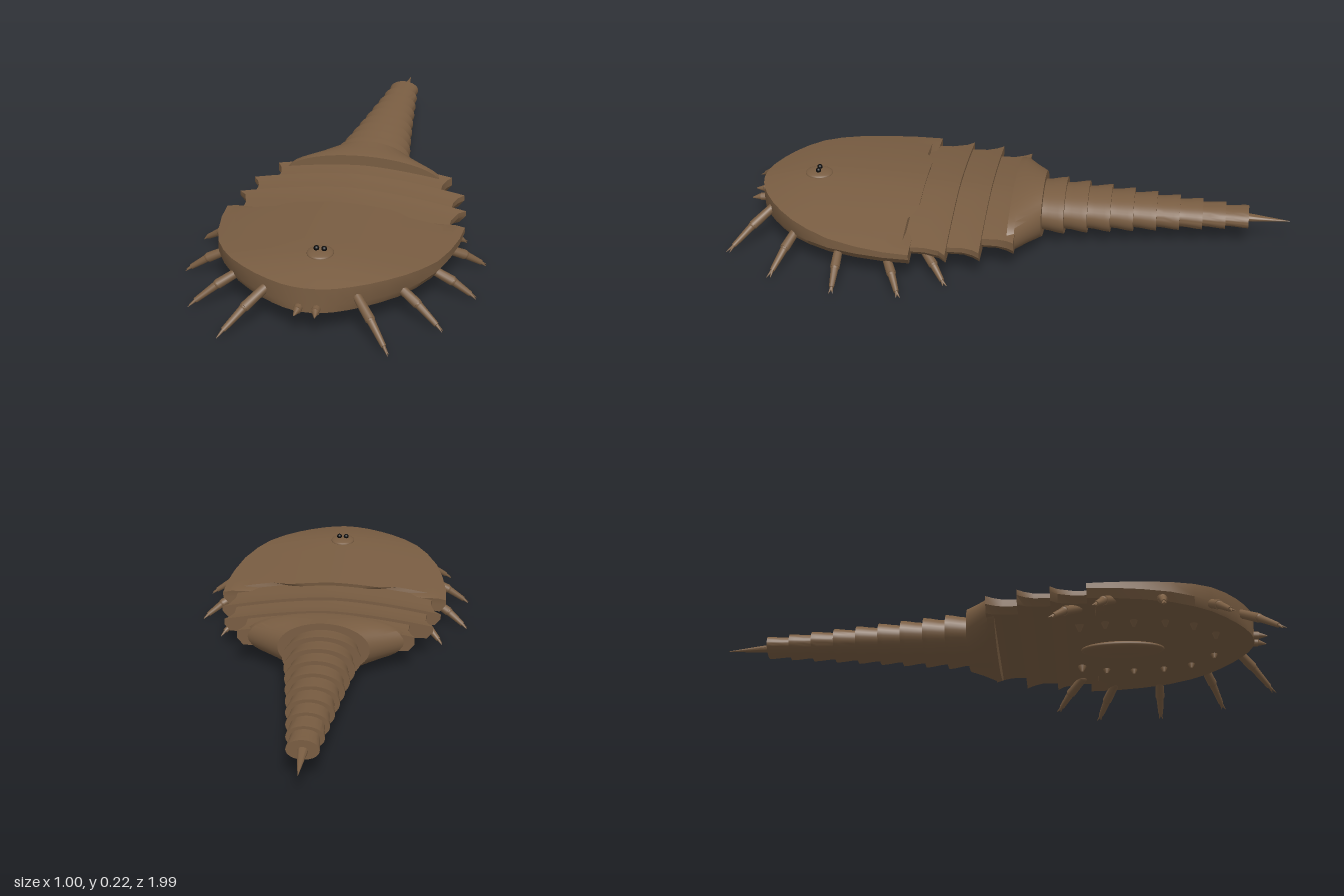
import * as THREE from 'three';
import { toCreasedNormals } from 'three/addons/utils/BufferGeometryUtils.js';

const shell = new THREE.MeshStandardMaterial({ name: 'brown shell', color: 0x795d42 });
const black = new THREE.MeshStandardMaterial({ name: 'black eye', color: 0x080808 });
const V = (x, y, z) => new THREE.Vector3(x, y, z);

// Capped solid through rings ordered front to back, each counterclockwise seen from +z
function loft(rings, crease = 0.6) {
  const pos = [], n = rings[0].length;
  const tri = (...p) => p.forEach(v => pos.push(v.x, v.y, v.z));
  const centre = r => r.reduce((s, v) => s.add(v), V(0, 0, 0)).divideScalar(n);
  const first = rings[0], last = rings[rings.length - 1];
  const cf = centre(first), cl = centre(last);
  for (let j = 0; j < n; j++) {
    const k = (j + 1) % n;
    for (let i = 0; i < rings.length - 1; i++) {
      const a = rings[i][j], b = rings[i][k], c = rings[i + 1][j], d = rings[i + 1][k];
      tri(a, c, b);
      tri(b, c, d);
    }
    tri(cf, first[j], first[k]);
    tri(cl, last[k], last[j]);
  }
  const g = new THREE.BufferGeometry();
  g.setAttribute('position', new THREE.Float32BufferAttribute(pos, 3));
  return toCreasedNormals(g, crease);
}

// Arched plate section: domed top, short side wall, flat belly
function arch(z, w, peak, belly = 0.09, shift = () => 0) {
  const ring = [], N = 32;
  const inner = Math.max(w - 0.022, w * 0.9);
  const add = (x, y) => ring.push(V(x, y, z + shift(Math.abs(x))));
  for (let i = 0; i <= N; i++) {
    const x = w * Math.cos(Math.PI * i / N);
    add(x, peak - 0.055 * Math.pow(Math.abs(x) / 0.42, 1.6));
  }
  add(-w, 0.118);
  for (let i = 0; i <= 12; i++) add(inner * (i / 6 - 1), belly);
  add(w, 0.118);
  return ring;
}

function oval(z, rx, ry, cy) {
  return Array.from({ length: 40 }, (_, i) => {
    const a = i / 40 * Math.PI * 2;
    return V(rx * Math.cos(a), cy + ry * Math.sin(a), z);
  });
}

// Straight tapered limb piece between two points
function limb(a, b, ra, rb) {
  const g = new THREE.CylinderGeometry(rb, ra, a.distanceTo(b), 12);
  g.applyQuaternion(new THREE.Quaternion().setFromUnitVectors(V(0, 1, 0), b.clone().sub(a).normalize()));
  const m = a.clone().add(b).multiplyScalar(0.5);
  return g.translate(m.x, m.y, m.z);
}

const ball = (r, p) => new THREE.SphereGeometry(r, 16, 10).translate(p.x, p.y, p.z);

export function createModel() {
  const model = new THREE.Group();
  model.name = 'armoredArthropod';
  const add = (name, geometry, material = shell, parent = model) => {
    const m = new THREE.Mesh(geometry, material);
    m.name = name;
    parent.add(m);
    return m;
  };

  // Head shield with a notched rear edge
  const outline = [[0.9, 0.015], [0.895, 0.05], [0.883, 0.09], [0.86, 0.138], [0.83, 0.188],
    [0.79, 0.24], [0.74, 0.291], [0.68, 0.333], [0.6, 0.373], [0.5, 0.4], [0.4, 0.416], [0.31, 0.42]];
  const notch = x => 0.03 * THREE.MathUtils.smoothstep(x, 0.17, 0.24) * (1 - THREE.MathUtils.smoothstep(x, 0.35, 0.38));
  add('headShield', loft(outline.map(([z, w], i) => {
    const peak = z > 0.7 ? 0.178 + 0.026 * Math.sin((0.9 - z) / 0.2 * Math.PI / 2)
      : 0.204 - 0.012 * (0.7 - z) / 0.39;
    return arch(z, w, peak, 0.09, i === outline.length - 1 ? notch : undefined);
  })));

  // Trunk plates, each flaring toward its rear edge
  const plates = [[0.36, 0.185, 0.365, 0.405], [0.2, 0.07, 0.352, 0.382], [0.09, -0.042, 0.295, 0.32]];
  plates.forEach(([z0, z1, w0, w1], i) => {
    const top = 0.184 - i * 0.002;
    add('trunkPlate' + (i + 1), loft([
      arch(z0, w0, top - 0.006, 0.097), arch(z1 + (z0 - z1) * 0.45, w0, top - 0.004, 0.097),
      arch(z1 + 0.025, w0 * 0.6 + w1 * 0.4, top, 0.094), arch(z1, w1, top + 0.004, 0.092)]));
  });

  // Funnel joining trunk to tail
  add('tailCollar', loft([oval(-0.015, 0.29, 0.092, 0.125), oval(-0.04, 0.285, 0.095, 0.126),
    oval(-0.08, 0.225, 0.096, 0.127), oval(-0.122, 0.165, 0.098, 0.128)]));

  // Nine overlapping tail rings
  for (let i = 0; i < 9; i++) {
    const t = i / 8, z = -0.115 - i * 0.0815;
    const rx = 0.14 - 0.084 * Math.pow(t, 0.85), ry = 0.086 - 0.05 * t, cy = 0.125 - 0.004 * t;
    const ring = (dz, s) => oval(z - dz, rx * s, ry * s, cy);
    add('tailRing' + (i + 1), loft([ring(-0.005, 0.88), ring(0.03, 0.91), ring(0.065, 0.98), ring(0.085, 1)]));
  }
  add('tailSpike', loft([oval(-0.765, 0.027, 0.021, 0.122), oval(-0.88, 0.015, 0.011, 0.117),
    oval(-1, 0.001, 0.001, 0.111)]));

  // Mouth plate under the head
  add('mouthPlate', new THREE.SphereGeometry(1, 32, 16).scale(0.06, 0.019, 0.15).translate(0, 0.078, 0.43));
  add('eyeMound', new THREE.SphereGeometry(1, 24, 12).scale(0.045, 0.012, 0.05).translate(0, 0.202, 0.7));

  // Paired parts: legs as base and tip positions
  const legs = [[V(0.135, 0.148, 0.825), V(0.28, 0.014, 0.985)], [V(0.245, 0.135, 0.72), V(0.425, 0.013, 0.805)],
    [V(0.34, 0.11, 0.565), V(0.5, 0.013, 0.57)], [V(0.36, 0.1, 0.4), V(0.5, 0.013, 0.335)],
    [V(0.3, 0.1, 0.28), V(0.412, 0.015, 0.185)]];
  const bumps = [[0.09, 0.76], [0.17, 0.68], [0.2, 0.58], [0.21, 0.47], [0.2, 0.37], [0.18, 0.28]];
  for (const [side, s] of [['left', 1], ['right', -1]]) {
    const m = v => V(v.x * s, v.y, v.z);
    legs.forEach(([base, tip], i) => {
      const leg = new THREE.Group();
      leg.name = side + 'Leg' + (i + 1);
      model.add(leg);
      const at = (t, lift) => m(base.clone().lerp(tip, t).add(V(0, lift, 0)));
      const knee = at(0.5, 0.008), ankle = at(0.88, 0.003), start = at(0, 0);
      add('hip', ball(0.015, start), shell, leg);
      add('upperLeg', limb(start, knee, 0.015, 0.017), shell, leg);
      add('knee', ball(0.0155, knee), shell, leg);
      add('lowerLeg', limb(knee, ankle, 0.014, 0.009), shell, leg);
      for (const d of [-0.007, 0.007]) {
        const end = at(1, 0).add(V(0, 0, d));
        add('claw', limb(ankle, end, 0.006, 0.0008), shell, leg);
      }
    });
    // Belly nubs
    bumps.forEach(([x, z]) => add(side + 'BellyNub', limb(m(V(x, 0.095, z)), m(V(x - 0.008, 0.07, z)), 0.016, 0.004)));
    // Front feelers
    add(side + 'Feeler', limb(m(V(0.028, 0.106, 0.87)), m(V(0.03, 0.104, 0.915)), 0.015, 0.014));
    add(side + 'FeelerTip', limb(m(V(0.03, 0.104, 0.915)), m(V(0.034, 0.1, 0.945)), 0.012, 0.002));
    // Centre eyes and small eyes beside the front legs
    add(side + 'CentreEye', ball(0.0095, m(V(0.013, 0.218, 0.7))), black);
    for (const [x, y, z] of [[0.136, 0.158, 0.837], [0.149, 0.153, 0.83]])
      add(side + 'SideEye', ball(0.0085, m(V(x, y, z))), black);
  }
  return model;
}
